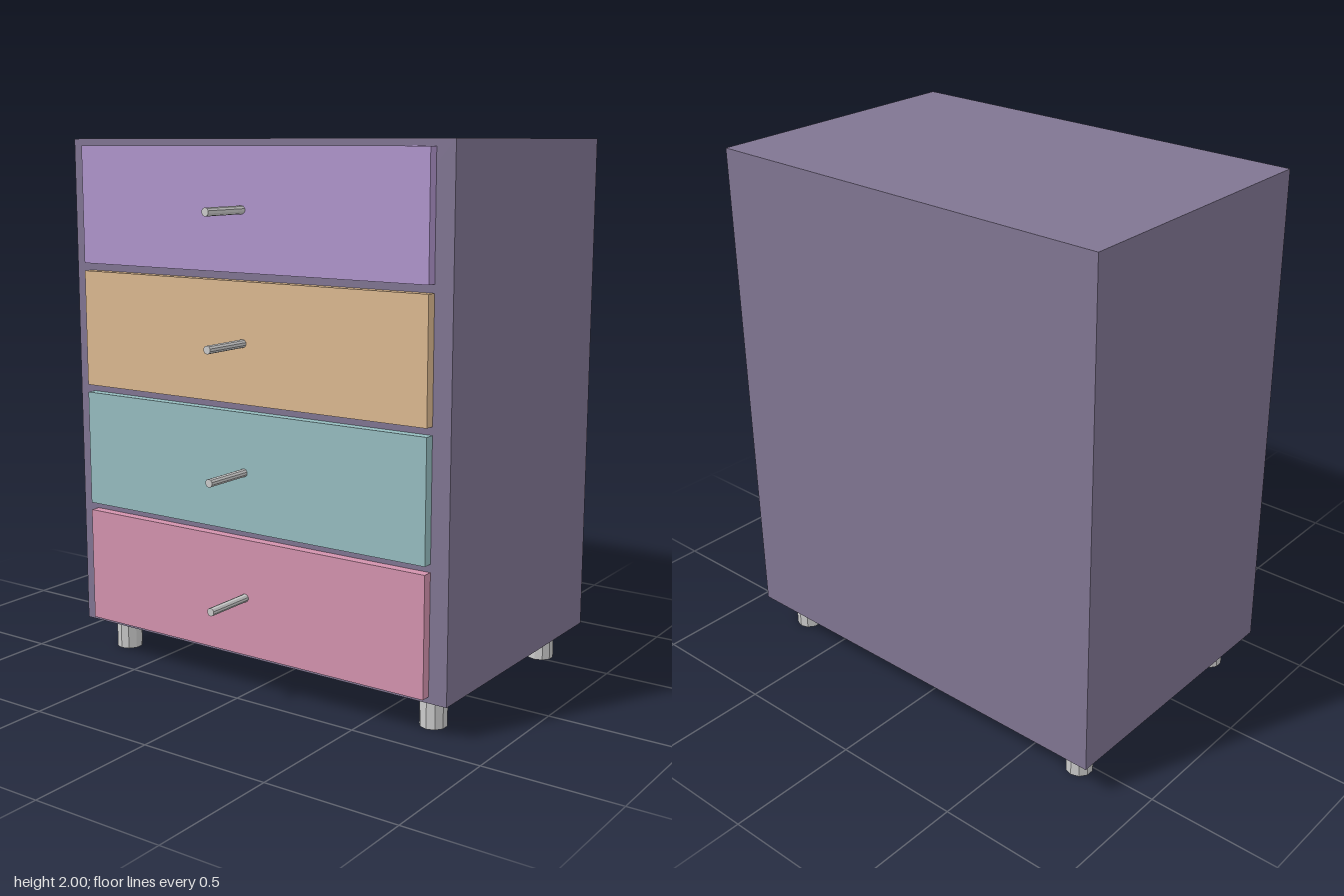
import * as THREE from 'three';

const material = (color) => new THREE.MeshStandardMaterial({ color, flatShading: true });

export function createModel() {
  const group = new THREE.Group();
  const grey = material(0xcccccc);

  const add = (name, geometry, mat, x, y, z) => {
    const mesh = new THREE.Mesh(geometry, mat);
    mesh.name = name;
    mesh.position.set(x, y, z);
    group.add(mesh);
    return mesh;
  };

  // Cabinet body
  const bottom = 0.125, top = 2, back = -0.645, front = 0.41;
  add('cabinet', new THREE.BoxGeometry(1.64, top - bottom, front - back), material(0x807592),
    0, (bottom + top) / 2, (front + back) / 2);

  // Four drawer fronts, bottom to top, each with a round peg handle
  const drawerDepth = 0.037, handleLength = 0.198;
  const drawerGeometry = new THREE.BoxGeometry(1.5, 0.435, drawerDepth);
  const handleGeometry = new THREE.CylinderGeometry(0.015, 0.015, handleLength, 10).rotateX(Math.PI / 2);
  [0xd393ae, 0x96bdc0, 0xdcb990, 0xaf94cc].forEach((color, i) => {
    const y = 0.366 + i * 0.464;
    add(`drawer${i + 1}`, drawerGeometry, material(color), 0, y, front + drawerDepth / 2);
    add(`handle${i + 1}`, handleGeometry, grey, 0, y, front + drawerDepth + handleLength / 2);
  });

  // Four short ten-sided legs
  const legGeometry = new THREE.CylinderGeometry(0.05, 0.05, bottom, 10);
  for (const [side, x] of [['Left', 0.705], ['Right', -0.705]]) {
    add(`front${side}Leg`, legGeometry, grey, x, bottom / 2, 0.297);
    add(`back${side}Leg`, legGeometry, grey, x, bottom / 2, -0.53);
  }

  return group;
}
